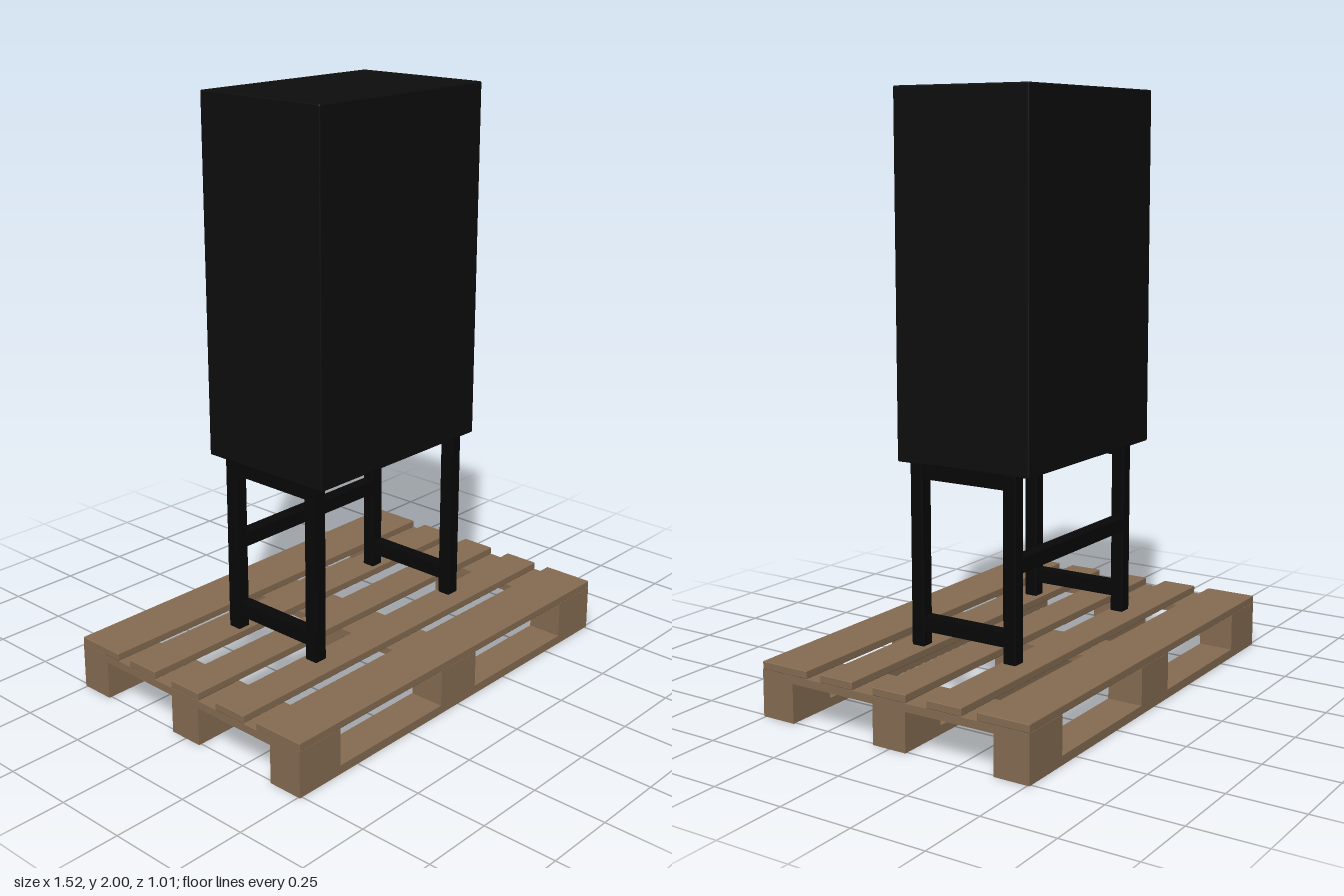
import * as THREE from 'three';
import { RoundedBoxGeometry } from 'three/addons/geometries/RoundedBoxGeometry.js';

export function createModel() {
  const model = new THREE.Group();
  const wood = new THREE.MeshStandardMaterial({ name: 'palletWood', color: 0x866c52 });
  const black = new THREE.MeshStandardMaterial({ name: 'cabinetBlack', color: 0x0d0d0d });
  const steel = new THREE.MeshStandardMaterial({ name: 'frameBlack', color: 0x070707 });

  // Box given by its limits on each axis, with an optional softened edge
  function block(parent, name, material, [x0, x1], [y0, y1], [z0, z1], radius = 0) {
    const size = [x1 - x0, y1 - y0, z1 - z0];
    const geometry = radius
      ? new RoundedBoxGeometry(...size, 2, radius)
      : new THREE.BoxGeometry(...size);
    const mesh = new THREE.Mesh(geometry, material);
    mesh.name = name;
    mesh.position.set((x0 + x1) / 2, (y0 + y1) / 2, (z0 + z1) / 2);
    parent.add(mesh);
  }

  // Pallet: top deck, cross boards, blocks and bottom runners
  const pallet = new THREE.Group();
  pallet.name = 'pallet';
  const length = [-0.76, 0.76];
  const columns = [[-0.76, -0.58], [-0.09, 0.09], [0.58, 0.76]];
  const rows = [[-0.507, -0.383], [-0.062, 0.062], [0.383, 0.507]];
  const deck = [[-0.507, -0.325], [-0.268, -0.142], [-0.063, 0.063], [0.142, 0.268], [0.325, 0.507]];
  for (const z of deck) block(pallet, 'deckBoard', wood, length, [0.158, 0.185], z, 0.003);
  for (const x of columns) {
    block(pallet, 'crossBoard', wood, x, [0.132, 0.158], [-0.507, 0.507]);
    for (const z of rows) block(pallet, 'palletBlock', wood, x, [0.03, 0.132], z);
  }
  for (const z of rows) block(pallet, 'bottomRunner', wood, length, [0, 0.03], z);
  model.add(pallet);

  // Stand: four legs, side rails and one rear rail
  const stand = new THREE.Group();
  stand.name = 'stand';
  const front = [0.157, 0.205], back = [-0.203, -0.155];
  for (const x of [[-0.368, -0.32], [0.32, 0.368]]) {
    block(stand, 'frontLeg', steel, x, [0.185, 0.8], front, 0.004);
    block(stand, 'backLeg', steel, x, [0.185, 0.8], back, 0.004);
    block(stand, 'lowerSideRail', steel, x, [0.24, 0.288], [back[1], front[0]]);
    block(stand, 'upperSideRail', steel, x, [0.75, 0.8], [back[1], front[0]]);
  }
  block(stand, 'rearRail', steel, [-0.32, 0.32], [0.48, 0.528], back);
  model.add(stand);

  // Cabinet
  block(model, 'cabinet', black, [-0.382, 0.382], [0.8, 2], [-0.262, 0.246], 0.005);

  return model;
}
